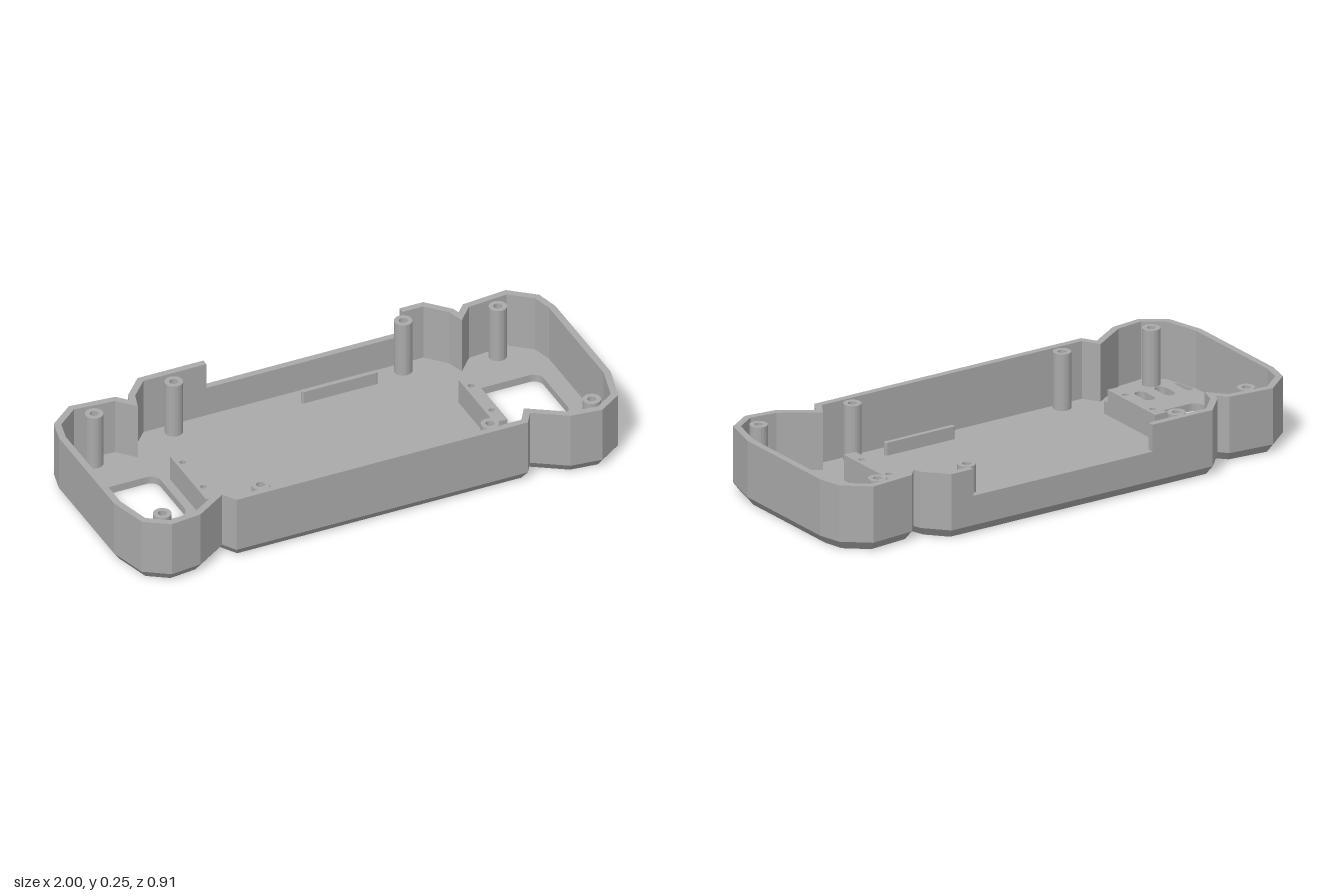
import * as THREE from 'three';

const HEIGHT = 0.255, CHAMFER = 0.035, FLOOR = 0.03, WALL = 0.026, CUT = 0.15;

// Left half of the plan outline as [x, z], from the back to the front
const half = [
  [-0.575, -0.458], [-0.655, -0.372], [-0.664, -0.343], [-0.70, -0.383], [-0.88, -0.40],
  [-0.978, -0.32], [-1, -0.23], [-1, 0.24], [-0.96, 0.39], [-0.867, 0.452],
  [-0.745, 0.438], [-0.62, 0.357], [-0.587, 0.41],
];
const outline = [...half, ...half.map(([x, z]) => [-x, z]).reverse()];

// Moves every edge of a closed outline inwards by t
function inset(pts, t) {
  const n = pts.length;
  const normal = (a, b) => {
    const dx = b[0] - a[0], dz = b[1] - a[1], l = Math.hypot(dx, dz);
    return [dz / l, -dx / l];
  };
  return pts.map((p, i) => {
    const a = normal(pts[(i + n - 1) % n], p), b = normal(p, pts[(i + 1) % n]);
    const k = t / (1 + a[0] * b[0] + a[1] * b[1]);
    return [p[0] + (a[0] + b[0]) * k, p[1] + (a[1] + b[1]) * k];
  });
}

// Joins closed rings of points with flat quads
function loft(rings) {
  const pos = [];
  for (let r = 0; r < rings.length - 1; r++) {
    const lo = rings[r], hi = rings[r + 1], n = lo.length;
    for (let i = 0; i < n; i++) {
      const j = (i + 1) % n;
      pos.push(...lo[i], ...lo[j], ...hi[j], ...lo[i], ...hi[j], ...hi[i]);
    }
  }
  const g = new THREE.BufferGeometry();
  g.setAttribute('position', new THREE.Float32BufferAttribute(pos, 3));
  g.computeVertexNormals();
  return g;
}

// Plan shapes: the shape's y is -z
const polygon = (pts, T = THREE.Shape) => new T(pts.map(([x, z]) => new THREE.Vector2(x, -z)));
const circle = (x, z, r) => new THREE.Path().absarc(x, -z, r, 0, Math.PI * 2, true);

function roundRect(x0, x1, z0, z1, r, T = THREE.Path) {
  const s = new T();
  s.absarc(x1 - r, -z0 - r, r, 0, Math.PI / 2);
  s.absarc(x0 + r, -z0 - r, r, Math.PI / 2, Math.PI);
  s.absarc(x0 + r, -z1 + r, r, Math.PI, Math.PI * 1.5);
  s.absarc(x1 - r, -z1 + r, r, Math.PI * 1.5, Math.PI * 2);
  s.closePath();
  return s;
}

function slab(shape, holes, y0, y1) {
  shape.holes = holes;
  const g = new THREE.ExtrudeGeometry(shape, { depth: y1 - y0, bevelEnabled: false, curveSegments: 10 });
  return g.rotateX(-Math.PI / 2).translate(0, y0, 0);
}

export function createModel() {
  const model = new THREE.Group();
  model.name = 'enclosureHalf';
  const grey = new THREE.MeshStandardMaterial({ color: 0xaaaaaa });
  grey.name = 'grey plastic';
  const add = (geometry, name) => {
    const m = new THREE.Mesh(geometry, grey);
    m.name = name;
    model.add(m);
    return m;
  };

  // Wall with a chamfered foot and a lowered stretch along the back
  const inner = inset(outline, WALL);
  const gap = [[0.48, HEIGHT], [0.48, CUT], [-0.31, CUT], [-0.31, HEIGHT]];
  const backZ = outline[0][1];
  const outerPts = [...outline, ...gap.map(([x]) => [x, backZ])];
  const innerPts = [...inner, ...gap.map(([x]) => [x, backZ + WALL])];
  const tops = [...outline.map(() => HEIGHT), ...gap.map(([, y]) => y)];
  const ring = (pts, y) => pts.map(([x, z], i) => [x, y ?? tops[i], z]);
  add(loft([
    ring(innerPts, 0), ring(outerPts, CHAMFER), ring(outerPts), ring(innerPts), ring(innerPts, FLOOR),
  ]), 'wall');

  // Floor openings: side windows and vents
  const openings = [];
  const outerVent = [[-0.967, 0.245], [-0.955, 0.232], [-0.942, 0.234], [-0.935, 0.25],
    [-0.935, 0.315], [-0.941, 0.325], [-0.949, 0.318]];
  for (const s of [-1, 1]) {
    const span = (a, b) => (s < 0 ? [-b, -a] : [a, b]);
    openings.push(roundRect(...span(0.64, 0.903), -0.163, 0.12, 0.04));
    for (const x of [0.692, 0.778, 0.866]) {
      openings.push(roundRect(...span(x - 0.022, x + 0.022), 0.23, 0.328, 0.0215));
    }
    openings.push(polygon(outerVent.map(([x, z]) => [-s * x, z]), THREE.Path));
  }

  // Floor in two layers, the lower one with wider screw recesses
  const posts = [];
  for (const s of [-1, 1]) {
    posts.push([s * 0.813, -0.325], [s * 0.462, -0.388], [s * 0.462, 0.35], [s * 0.865, 0.365]);
  }
  const screwHoles = (r) => posts.map(([x, z]) => circle(x, z, r));
  add(slab(polygon(inner), [...openings, ...screwHoles(0.026)], 0, 0.015), 'floorUnderside');
  add(slab(polygon(inner), [...openings, ...screwHoles(0.016)], 0.015, FLOOR), 'floor');

  // Hollow screw posts
  for (const [x, z] of posts) {
    const ringShape = new THREE.Shape().absarc(0, 0, 0.034, 0, Math.PI * 2, false);
    add(slab(ringShape, [circle(0, 0, 0.016)], FLOOR, 0.25), 'screwPost').position.set(x, 0, z);
  }

  // Mounting blocks with two blind holes and a small tab
  for (const s of [-1, 1]) {
    const x = s * 0.581;
    const block = polygon([[x - 0.026, -0.115], [x - 0.026, 0.193], [x + 0.026, 0.193], [x + 0.026, -0.115]]);
    add(slab(block, [circle(x, -0.06, 0.012), circle(x, 0.115, 0.012)], FLOOR, 0.13), 'mountingBlock');
    const tab = roundRect(s * 0.566 - 0.011, s * 0.566 + 0.011, 0.18, 0.222, 0.008, THREE.Shape);
    add(slab(tab, [], FLOOR, 0.08), 'blockTab');
  }

  // Raised board ribs on the floor
  for (const z of [-0.358, 0.317]) {
    add(slab(roundRect(0.037, 0.343, z - 0.009, z + 0.009, 0.008, THREE.Shape), [], FLOOR, 0.08), 'boardRib');
  }
  return model;
}
